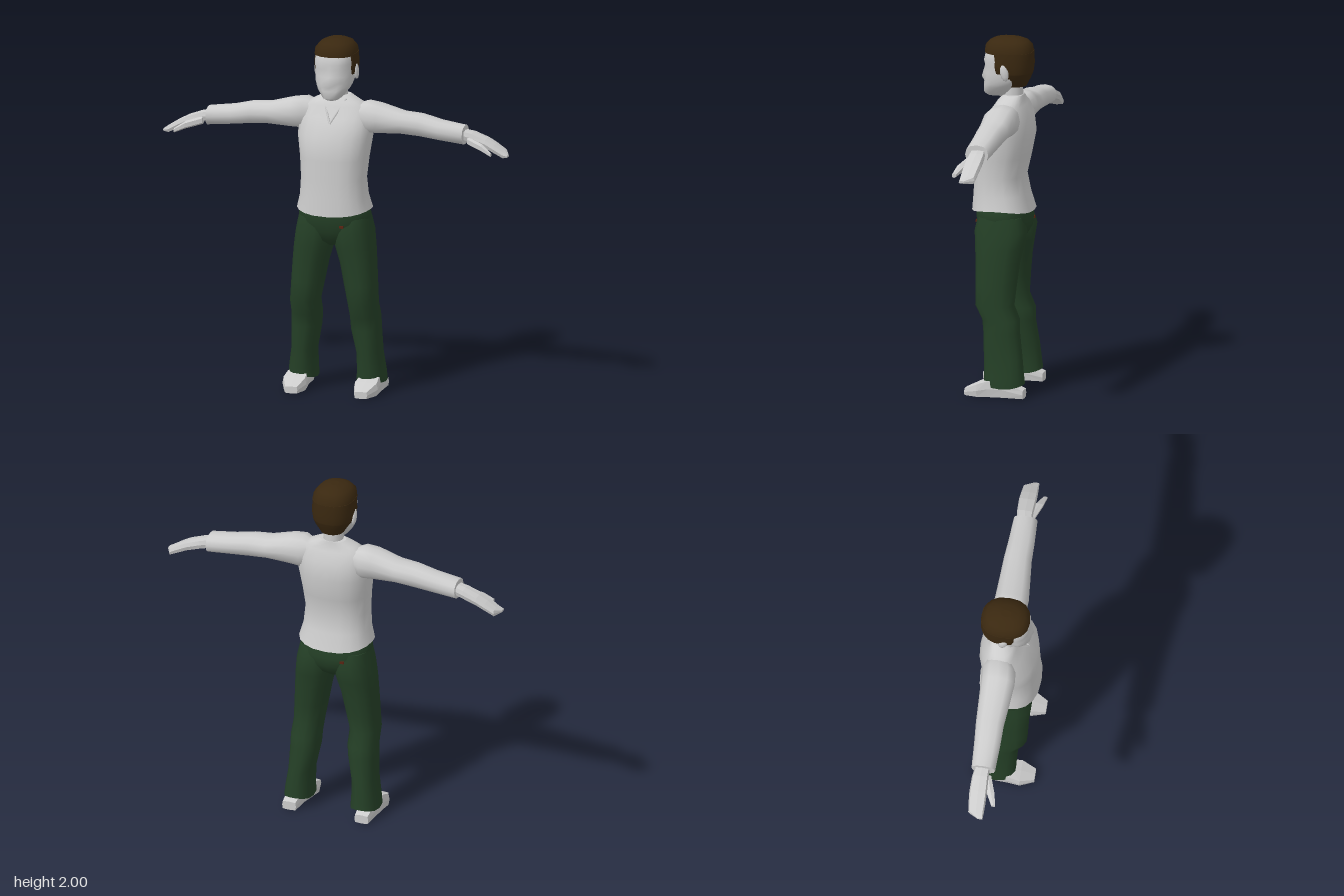
import * as THREE from 'three';

const paint = (name, color) => {
  const m = new THREE.MeshStandardMaterial({ color });
  m.name = name;
  return m;
};

// Ways to lay a section (a, b) at station t: upright, along x, along z
const upright = (a, t, b) => [a, t, b];
const alongX = (s) => (a, t, b) => [s * t, a, b];
const alongZ = (s) => (a, t, b) => [s * a, b, t];
const uprightAt = (s) => (a, t, b) => [s * a, t, b];

// Closed loft through rounded sections [t, a0, a1, b0, b1, noseBump]
function loft(sections, { sides = 16, power = 0.85, map = upright, maxB = null, dip = 0, flat = false } = {}) {
  const pos = [], idx = [];
  const pow = (v) => Math.sign(v) * Math.pow(Math.abs(v) < 1e-9 ? 0 : Math.abs(v), power);
  sections.forEach(([t, a0, a1, b0, b1, bump = 0], k) => {
    for (let i = 0; i < sides; i++) {
      const th = (i / sides) * Math.PI * 2, c = pow(Math.cos(th)), s = pow(Math.sin(th));
      const a = (a0 + a1) / 2 + ((a1 - a0) / 2) * c;
      let b = (b0 + b1) / 2 + (Math.abs(b1 - b0) / 2) * s;
      if (maxB) b = Math.min(b, maxB[k]);
      if (i === sides / 4) b += bump;
      pos.push(...map(a, t - (k === 0 ? dip * s * s : 0), b));
    }
  });
  const n = sections.length;
  for (let k = 0; k < n - 1; k++) for (let i = 0; i < sides; i++) {
    const j = (i + 1) % sides, p = k * sides, q = p + sides;
    idx.push(p + i, q + i, p + j, p + j, q + i, q + j);
  }
  // End caps with their own corners, so the rims stay sharp
  for (const k of [0, n - 1]) {
    const base = pos.length / 3, mid = [0, 0, 0];
    for (let i = 0; i < sides; i++) for (let d = 0; d < 3; d++) {
      const v = pos[(k * sides + i) * 3 + d];
      pos.push(v);
      mid[d] += v / sides;
    }
    pos.push(...mid);
    for (let i = 0; i < sides; i++) {
      const p = base + i, q = base + ((i + 1) % sides), m = base + sides;
      k === 0 ? idx.push(m, p, q) : idx.push(m, q, p);
    }
  }
  // Turn the faces outward whatever the mapping or mirroring
  const v = (i) => new THREE.Vector3().fromArray(pos, i * 3);
  let volume = 0;
  for (let i = 0; i < idx.length; i += 3) volume += v(idx[i]).dot(v(idx[i + 1]).cross(v(idx[i + 2])));
  if (volume < 0) idx.reverse();
  let g = new THREE.BufferGeometry();
  g.setAttribute('position', new THREE.Float32BufferAttribute(pos, 3));
  g.setIndex(idx);
  if (flat) g = g.toNonIndexed();
  g.computeVertexNormals();
  return g;
}

// Section symmetric about x = 0: height, half width, back, front
const sym = ([y, w, back, front, bump]) => [y, -w, w, back, front, bump];

export function createModel() {
  const pale = paint('paleGrey', 0xcccccc);
  const green = paint('darkGreen', 0x243f26);
  const brown = paint('darkBrown', 0x3a2810);
  const rust = paint('rust', 0x5a2412);
  const model = new THREE.Group();
  model.name = 'standingMan';
  const add = (name, geometry, material) => {
    const mesh = new THREE.Mesh(geometry, material);
    mesh.name = name;
    model.add(mesh);
    return mesh;
  };

  // Shirt body
  add('shirt', loft([
    [1.045, 0.21, -0.17, 0.172], [1.12, 0.19, -0.14, 0.165], [1.22, 0.183, -0.12, 0.16],
    [1.33, 0.192, -0.145, 0.157], [1.46, 0.21, -0.17, 0.15], [1.56, 0.205, -0.155, 0.08],
    [1.62, 0.185, -0.125, 0.045], [1.645, 0.135, -0.115, 0.03], [1.675, 0.075, -0.11, 0.0],
  ].map(sym), { sides: 20, dip: 0.025 }), pale);

  // Neck
  const neck = add('neck', new THREE.CylinderGeometry(0.055, 0.06, 0.18, 12), pale);
  neck.position.set(0, 1.67, -0.05);

  // Head, with chin, mouth, nose and brow along the front
  add('head', loft([
    [1.665, 0.035, -0.02, 0.095], [1.68, 0.055, -0.04, 0.114], [1.72, 0.085, -0.07, 0.113, 0.004],
    [1.74, 0.095, -0.09, 0.108, 0.008], [1.765, 0.103, -0.11, 0.11, 0.02], [1.8, 0.107, -0.12, 0.108, 0.012],
    [1.84, 0.108, -0.13, 0.104, 0.004], [1.87, 0.109, -0.13, 0.112], [1.92, 0.106, -0.12, 0.1],
    [1.96, 0.08, -0.1, 0.07],
  ].map(sym), { sides: 16, power: 0.8 }), pale);

  // Hair: crown, then the back and sides cut off in front of the ears
  add('hairCrown', loft([
    [1.912, 0.117, -0.165, 0.108], [1.95, 0.112, -0.158, 0.105], [1.978, 0.088, -0.135, 0.08],
    [1.993, 0.055, -0.1, 0.045], [2.0, 0.02, -0.055, 0.0],
  ].map(sym)), brown);
  add('hairBack', loft([
    [1.725, 0.065, -0.125, 0.02], [1.77, 0.095, -0.148, 0.06], [1.8, 0.112, -0.16, 0.09],
    [1.805, 0.113, -0.161, 0.095], [1.85, 0.12, -0.167, 0.1], [1.92, 0.117, -0.165, 0.1],
  ].map(sym), { sides: 20, maxB: [-0.05, -0.045, -0.03, 0.035, 0.035, 0.04] }), brown);

  // Seat of the trousers
  add('trouserSeat', loft([
    [0.835, 0.04, -0.07, 0.06], [0.87, 0.12, -0.12, 0.11], [0.92, 0.18, -0.15, 0.13],
    [0.97, 0.203, -0.155, 0.145], [1.03, 0.2, -0.145, 0.15], [1.07, 0.18, -0.13, 0.14],
  ].map(sym), { sides: 20 }), green);

  // Small tabs on the trousers
  for (const [x, z] of [[0.08, 0.137], [-0.09, -0.147]]) {
    const tab = add('trouserTab', new THREE.BoxGeometry(0.022, 0.014, 0.008), rust);
    tab.position.set(x, 0.96, z);
  }

  for (const s of [1, -1]) {
    const side = s > 0 ? 'left' : 'right';

    // Neckline
    add(side + 'Neckline', new THREE.TubeGeometry(new THREE.LineCurve3(
      new THREE.Vector3(s * 0.065, 1.66, 0.005), new THREE.Vector3(0, 1.535, 0.103)), 1, 0.006, 5), pale);

    // Ear
    const ear = add(side + 'Ear', new THREE.SphereGeometry(1, 8, 6), pale);
    ear.scale.set(0.014, 0.048, 0.024);
    ear.position.set(s * 0.115, 1.815, -0.028);
    ear.rotation.x = 0.2;

    // Sleeve
    add(side + 'Sleeve', loft([
      [0.1, 1.5, 1.62, -0.1, 0.01], [0.18, 1.47, 1.652, -0.135, 0.055], [0.25, 1.473, 1.643, -0.128, 0.06],
      [0.385, 1.48, 1.605, -0.122, 0.048], [0.49, 1.472, 1.598, -0.118, 0.038],
      [0.6, 1.46, 1.572, -0.11, 0.036], [0.745, 1.445, 1.552, -0.102, 0.03],
    ], { sides: 12, map: alongX(s) }), pale);

    // Hand and thumb
    add(side + 'Hand', loft([
      [0.72, 1.475, 1.53, -0.08, 0], [0.79, 1.46, 1.517, -0.092, 0], [0.87, 1.435, 1.487, -0.094, 0.004],
      [0.92, 1.41, 1.46, -0.09, 0.004], [0.972, 1.385, 1.427, -0.084, 0.002], [1.0, 1.394, 1.408, -0.03, 0],
    ], { sides: 8, power: 0.5, map: alongX(s), flat: true }), pale);
    add(side + 'Thumb', loft([
      [0.77, 1.45, 1.495, -0.03, 0.015], [0.86, 1.425, 1.468, 0.0, 0.048], [0.92, 1.403, 1.428, 0.035, 0.06],
    ], { sides: 6, map: alongX(s), flat: true }), pale);

    // Trouser leg
    add(side + 'TrouserLeg', loft([
      [0.055, 0.118, 0.278, -0.166, 0.062], [0.12, 0.122, 0.272, -0.16, 0.062], [0.22, 0.122, 0.257, -0.15, 0.066],
      [0.36, 0.092, 0.254, -0.13, 0.072], [0.43, 0.088, 0.251, -0.13, 0.08], [0.51, 0.087, 0.248, -0.097, 0.12],
      [0.62, 0.064, 0.242, -0.107, 0.122], [0.74, 0.04, 0.235, -0.12, 0.125], [0.83, 0.012, 0.228, -0.137, 0.132],
      [0.92, 0.0, 0.216, -0.155, 0.138], [1.0, 0.01, 0.2, -0.13, 0.12],
    ], { sides: 14, map: uprightAt(s), dip: -0.02 }), green);

    // Shoe
    add(side + 'Shoe', loft([
      [-0.17, 0.175, 0.258, 0, 0.05], [-0.05, 0.165, 0.265, 0, 0.1], [0.03, 0.148, 0.27, 0, 0.1],
      [0.09, 0.138, 0.277, 0, 0.078], [0.168, 0.165, 0.24, 0, 0.04],
    ], { sides: 8, power: 0.3, map: alongZ(s), flat: true }), pale);
  }
  return model;
}
